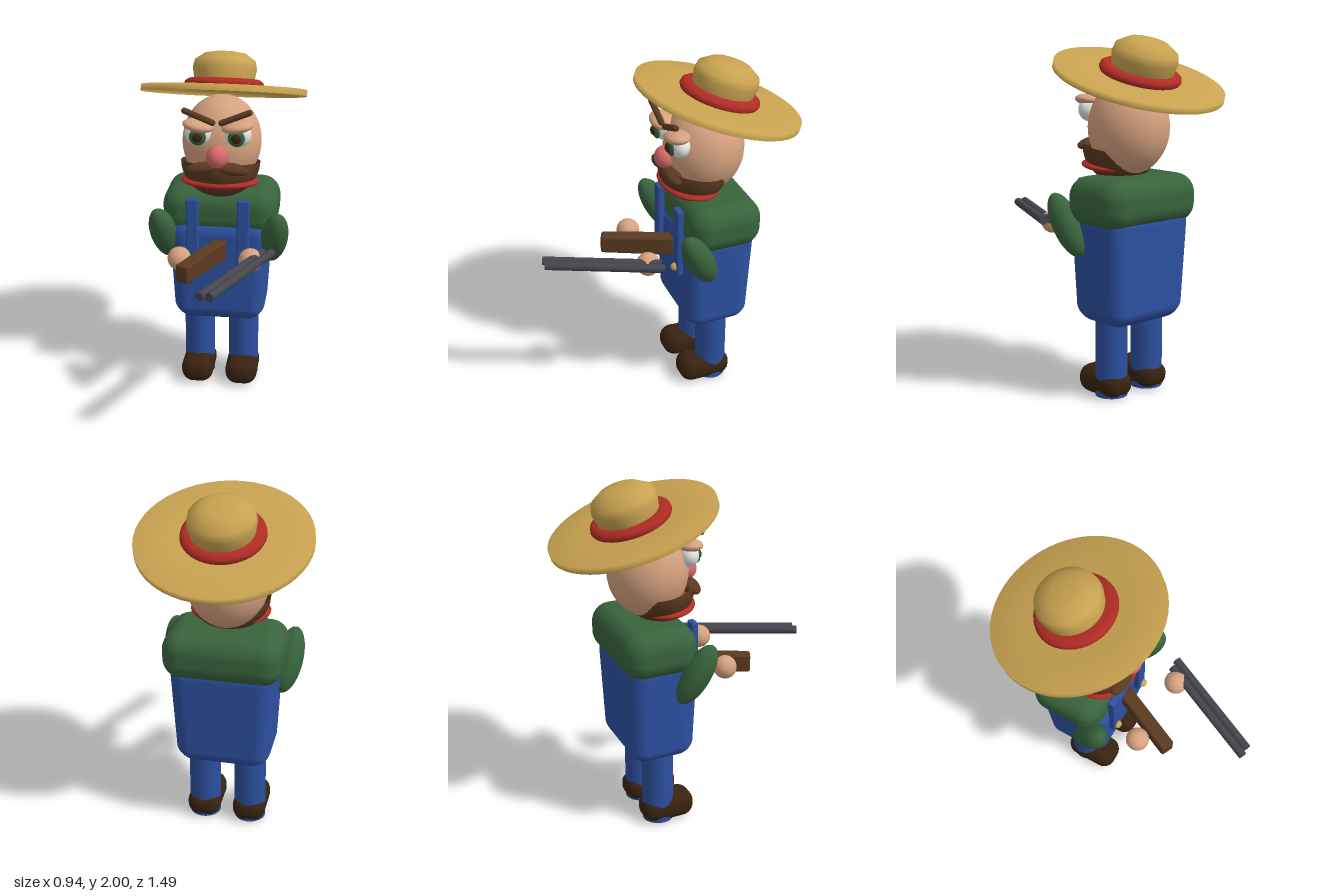
import * as THREE from 'three';
import { RoundedBoxGeometry } from 'three/addons/geometries/RoundedBoxGeometry.js';

const mat = (name, color, side = THREE.FrontSide) => {
  const m = new THREE.MeshStandardMaterial({ color, side });
  m.name = name;
  return m;
};

export function createModel() {
  const straw = mat('straw', 0xc8a250, THREE.DoubleSide);
  const red = mat('red', 0xb02c24);
  const skin = mat('skin', 0xd6a280);
  const pink = mat('pink', 0xd86c6c);
  const brown = mat('brown', 0x5a3a20, THREE.DoubleSide);
  const darkBrown = mat('dark brown', 0x38230f);
  const green = mat('green', 0x38643c);
  const blue = mat('blue', 0x2c50a0);
  const white = mat('white', 0xe6e8e4);
  const metal = mat('gunmetal', 0x45454e);

  const model = new THREE.Group();
  model.name = 'farmer';

  const add = (name, geometry, material, pos = [0, 0, 0], rot = [0, 0, 0], parent = model) => {
    const mesh = new THREE.Mesh(geometry, material);
    mesh.name = name;
    mesh.position.set(...pos);
    mesh.rotation.set(...rot);
    parent.add(mesh);
    return mesh;
  };
  const ball = (name, material, pos, radii, rot) =>
    add(name, new THREE.SphereGeometry(1, 32, 20).scale(...radii), material, pos, rot);
  const roundBox = (w, h, d, r) => new RoundedBoxGeometry(w, h, d, 6, r);
  const lathe = (points) =>
    new THREE.LatheGeometry(points.map(([x, y]) => new THREE.Vector2(x, y)), 48);
  // Places a mesh so that its y axis runs from a to b
  const between = (name, geometry, material, a, b) => {
    const va = new THREE.Vector3(...a), vb = new THREE.Vector3(...b);
    const mesh = add(name, geometry, material);
    mesh.position.copy(va).lerp(vb, 0.5);
    mesh.quaternion.setFromUnitVectors(new THREE.Vector3(0, 1, 0), vb.sub(va).normalize());
    return mesh;
  };
  const reshape = (geometry, rule) => {
    const p = geometry.attributes.position, v = new THREE.Vector3();
    for (let i = 0; i < p.count; i++) {
      rule(v.fromBufferAttribute(p, i));
      p.setXYZ(i, v.x, v.y, v.z);
    }
    return geometry;
  };

  // Overalls, narrowing at the bottom, and shirt
  const bodyGeo = reshape(roundBox(0.58, 0.64, 0.41, 0.09), (v) => {
    const k = 1 - 0.16 * Math.max(0, -v.y / 0.32) ** 2;
    v.x *= k;
    v.z *= k;
  });
  add('overalls', bodyGeo, blue, [0, 0.755, -0.225]);
  add('shirt', roundBox(0.66, 0.275, 0.425, 0.11), green, [0, 1.117, -0.247]);

  // Paired parts
  for (const [side, s] of [['left', 1], ['right', -1]]) {
    add(side + 'Leg', new THREE.CylinderGeometry(0.09, 0.09, 0.5, 32), blue, [s * 0.133, 0.27, -0.225]);
    const shoeGeo = reshape(roundBox(0.19, 0.16, 0.31, 0.072), (v) => {
      if (v.y > 0) v.y *= 1 - 0.2 * THREE.MathUtils.smoothstep(-v.z, -0.06, 0.08);
    });
    add(side + 'Shoe', shoeGeo, darkBrown, [s * 0.133, 0.09, -0.175]);
    add(side + 'Strap', roundBox(0.07, 0.425, 0.04, 0.01), blue, [s * 0.145, 1.012, -0.01]);
    ball(side + 'Button', straw, [s * 0.147, 0.85, 0.012], [0.024, 0.024, 0.024]);
    between(side + 'Arm', new THREE.SphereGeometry(1, 32, 20).scale(0.079, 0.19, 0.079), green,
      [s * 0.29, 0.82, -0.15], [s * 0.345, 1.15, 0.02]);

    // Eye, lid, brow and half of the moustache
    ball(side + 'Eye', white, [s * 0.11, 1.602, -0.025], [0.076, 0.068, 0.057]);
    ball(side + 'Iris', green, [s * 0.107, 1.597, 0.022], [0.047, 0.047, 0.02]);
    ball(side + 'Pupil', darkBrown, [s * 0.107, 1.597, 0.036], [0.027, 0.027, 0.018]);
    ball(side + 'Eyelid', skin, [s * 0.108, 1.652, -0.013], [0.088, 0.034, 0.069], [0, 0, s * 0.15]);
    between(side + 'Brow', new THREE.CapsuleGeometry(0.017, 0.165, 6, 16), brown,
      [s * 0.015, 1.677, 0.022], [s * 0.188, 1.748, 0.022]);
    ball(side + 'Moustache', brown, [s * 0.078, 1.412, 0.003], [0.1, 0.034, 0.046], [0, 0, -s * 0.12]);
  }

  // Hands
  ball('leftHand', skin, [0.208, 0.955, 0.195], [0.066, 0.066, 0.066]);
  ball('rightHand', skin, [-0.193, 0.932, 0.168], [0.066, 0.066, 0.066]);

  // Head
  ball('head', skin, [0, 1.51, -0.215], [0.225, 0.262, 0.225]);
  ball('nose', pink, [0, 1.483, 0.012], [0.062, 0.065, 0.06]);
  const beardGeo = new THREE.SphereGeometry(1, 40, 16, 0, Math.PI * 2, Math.PI / 2, Math.PI / 2);
  add('beard', beardGeo.scale(0.225, 0.21, 0.195), brown, [0, 1.41, -0.155], [-0.17, 0, 0]);
  ball('mouth', red, [0, 1.3, -0.125], [0.222, 0.037, 0.167], [-0.1, 0, 0]);

  // Tilted straw hat, hollow under the brim
  const hat = new THREE.Group();
  hat.name = 'hat';
  hat.position.set(0, 1.775, -0.295);
  hat.rotation.x = -0.31;
  model.add(hat);
  add('brim', lathe([[0.47, -0.018], [0.47, 0.018], [0.3, 0.018], [0.001, 0.018]]), straw,
    [0, 0, 0], [0, 0, 0], hat);
  add('hatBand', lathe([[0.215, 0.01], [0.226, 0.03], [0.222, 0.05], [0.2, 0.064], [0.15, 0.066]]), red,
    [0, 0, 0], [0, 0, 0], hat);
  add('crown', lathe([[0.165, 0.01], [0.172, 0.07], [0.182, 0.125], [0.172, 0.17], [0.115, 0.21],
    [0.06, 0.219], [0.001, 0.222]]), straw, [0, 0, -0.008], [0, 0, 0], hat);

  // Double barrel and stock
  [0, 0.05].forEach((dx, i) => between('barrel' + (i + 1), new THREE.CylinderGeometry(0.024, 0.024, 0.655, 24),
    metal, [dx, 0.98, 0.735], [0.27 + dx, 0.98, 0.138]));
  const stockGeo = reshape(roundBox(0.08, 0.12, 0.42, 0.015), (v) => {
    v.y *= 0.92 - 0.3 * v.z;
  });
  add('stock', stockGeo, brown, [-0.068, 0.915, 0.155], [0, -0.423, 0]);

  return model;
}
